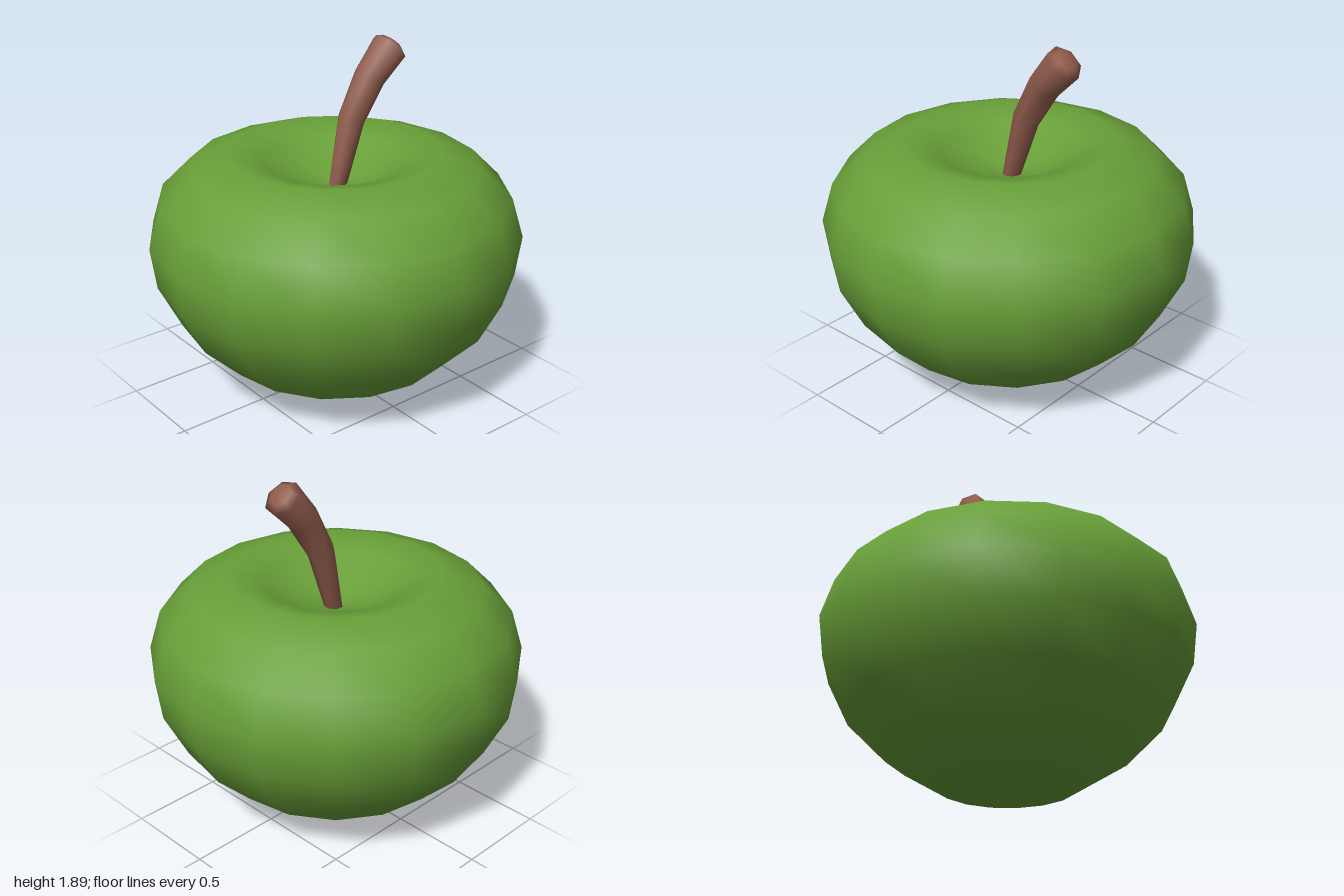
import * as THREE from 'three';
import { mergeVertices } from 'three/addons/utils/BufferGeometryUtils.js';

const green = new THREE.MeshStandardMaterial({ color: 0x689f38 });
green.name = 'apple green';
const brown = new THREE.MeshStandardMaterial({ color: 0x905c4c });
brown.name = 'stem brown';

// Leaning tube with a pole at each end, from rings of [x, y, z, radius, lean in degrees]
function stemGeometry(rings, sides) {
  const pos = [], index = [];
  rings.forEach(([x, y, z, r, lean], k) => {
    const l = THREE.MathUtils.degToRad(lean);
    for (let i = 0; i < sides; i++) {
      const a = (i / sides) * Math.PI * 2;
      const u = r * Math.sin(a);
      pos.push(x + u * Math.cos(l), y - u * Math.sin(l), z + r * Math.cos(a));
      if (k === rings.length - 1) continue;
      const p = k * sides + i, q = k * sides + ((i + 1) % sides);
      index.push(p, q, q + sides, p, q + sides, p + sides);
    }
  });
  let g = new THREE.BufferGeometry();
  g.setAttribute('position', new THREE.Float32BufferAttribute(pos, 3));
  g.setIndex(index);
  g = mergeVertices(g);
  g.computeVertexNormals();
  return g;
}

export function createModel() {
  const group = new THREE.Group();
  group.name = 'apple';

  // Fruit: sixteen-sided lathe with a hollow at both ends
  const profile = [
    [0, 0.05], [0.19, 0], [0.36, 0.03], [0.64, 0.2], [0.85, 0.41], [0.97, 0.65],
    [1, 0.875], [0.935, 1.09], [0.775, 1.25], [0.56, 1.325], [0.38, 1.275],
    [0.2, 1.16], [0, 1.12],
  ].map(([r, y]) => new THREE.Vector2(r, y));
  const fruit = new THREE.Mesh(new THREE.LatheGeometry(profile, 16), green);
  fruit.name = 'fruit';
  group.add(fruit);

  // Stem: bends to the side and thickens towards its blunt tip
  const stem = new THREE.Mesh(stemGeometry([
    [0.01, 1.09, 0, 0, 12],
    [0.01, 1.1, 0, 0.047, 12],
    [0.112, 1.47, -0.008, 0.073, 26],
    [0.232, 1.677, -0.005, 0.086, 35],
    [0.36, 1.822, 0.005, 0.1, 42],
    [0.375, 1.843, 0.003, 0.062, 42],
    [0.385, 1.853, 0.003, 0, 42],
  ], 7), brown);
  stem.name = 'stem';
  group.add(stem);

  return group;
}
